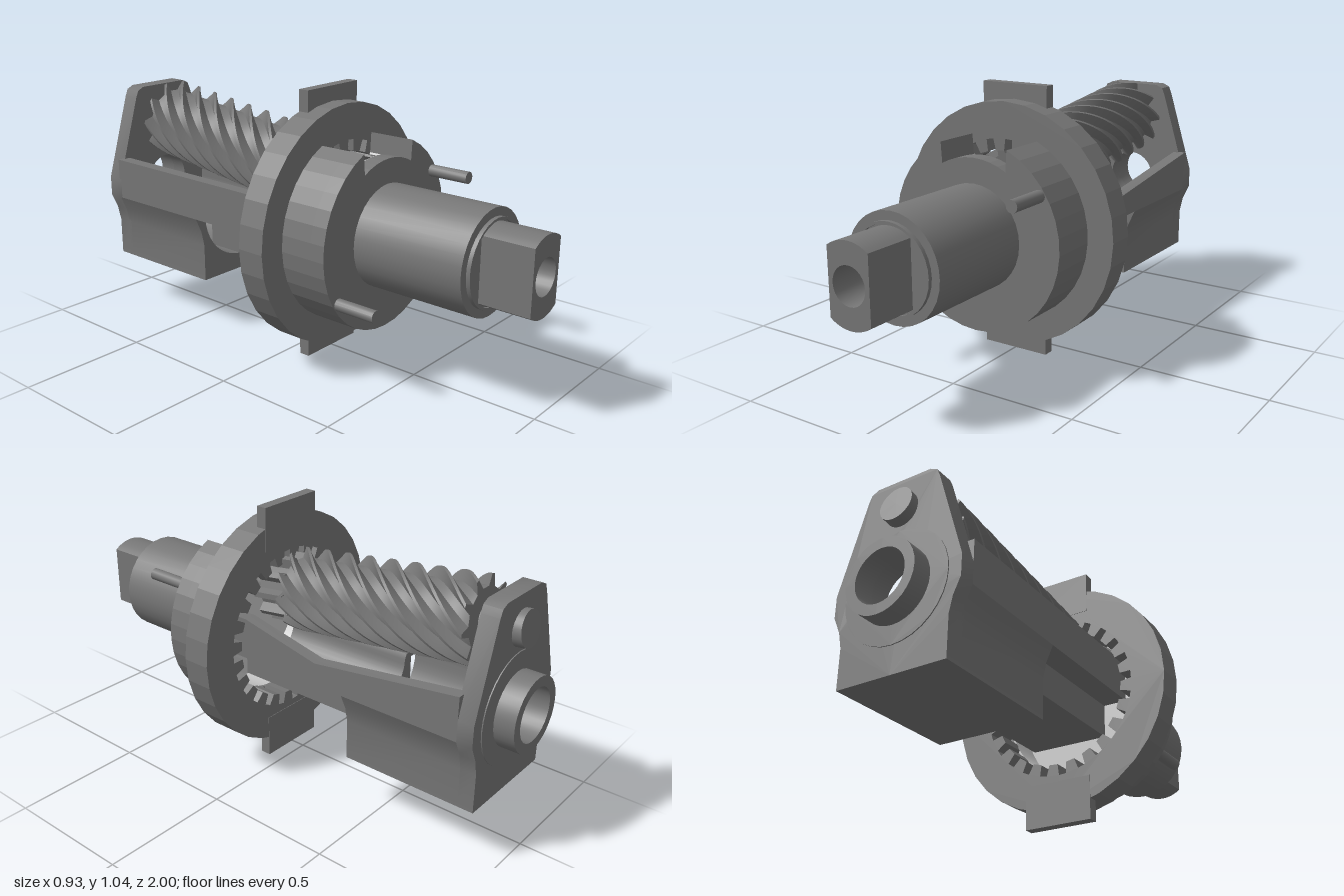
import * as THREE from 'three';
import { toCreasedNormals } from 'three/addons/utils/BufferGeometryUtils.js';

const AXIS = 0.52; // height of the main shaft axis

export function createModel() {
  const model = new THREE.Group();
  const dark = new THREE.MeshStandardMaterial({ color: 0x777777, side: THREE.DoubleSide });
  const light = new THREE.MeshStandardMaterial({ color: 0xcccccc, side: THREE.DoubleSide });

  function add(name, geometry, { parent = model, material = dark, crease = 0.45 } = {}) {
    const mesh = new THREE.Mesh(toCreasedNormals(geometry, crease), material);
    mesh.name = name;
    parent.add(mesh);
  }
  const polar = (r, a) => new THREE.Vector2(r * Math.cos(a), r * Math.sin(a));
  const arc = (r, a0, a1, n = 32) =>
    Array.from({ length: n + 1 }, (_, i) => polar(r, a0 + (a1 - a0) * i / n));
  const circle = (r, n = 32) => arc(r, 0, Math.PI * 2, n).slice(0, n);
  // Toothed outline: each tooth is a trapezoid with wide root and narrow tip
  function toothed(n, root, tip, rootGap, tipWidth, phase = 0) {
    const pts = [], step = Math.PI * 2 / n;
    for (let i = 0; i < n; i++) {
      const a = i * step + Math.PI / 2 + phase;
      pts.push(polar(root, a - step * rootGap / 2), polar(root, a + step * rootGap / 2),
        polar(tip, a + step * (0.5 - tipWidth / 2)), polar(tip, a + step * (0.5 + tipWidth / 2)));
    }
    return pts;
  }
  // Extrude an outline along z from z0 to z1
  function slab(points, z0, z1, holes = [], steps = 1) {
    const shape = new THREE.Shape(points);
    shape.holes = holes.map(h => new THREE.Path(h));
    const g = new THREE.ExtrudeGeometry(shape, { depth: z1 - z0, bevelEnabled: false, steps });
    return g.translate(0, 0, z0);
  }
  const onAxis = g => g.translate(0, AXIS, 0);
  const rod = (r, z0, z1, n = 24) =>
    new THREE.CylinderGeometry(r, r, z1 - z0, n).rotateX(Math.PI / 2).translate(0, 0, (z0 + z1) / 2);
  const mirrored = half => [...half, ...half.slice().reverse().map(([x, y]) => [-x, y])]
    .map(([x, y]) => new THREE.Vector2(x, y));

  // Flange with internal ring gear
  const flat = { crease: 0.1 };
  add('ringGearFlange', onAxis(slab(circle(0.463), 0.06, 0.17,
    [toothed(24, 0.28, 0.325, 0.5, 0.36, 0.065)])), flat);
  for (const s of [1, -1]) {
    const tab = new THREE.BoxGeometry(0.28, 0.17, 0.042);
    add('flangeTab', tab.translate(0, AXIS + s * 0.435, 0.079));
  }

  // Hub cup with a notch at the top and a pale lining
  const up = Math.PI / 2, round = Math.PI * 2;
  const outer = arc(0.36, up + 0.41, up + round - 0.41);
  const inner = r => arc(r, up + round - 0.5, up + 0.5);
  add('hubWall', onAxis(slab([...outer, ...inner(0.288)], 0.17, 0.3)), flat);
  add('hubFront', onAxis(slab([...outer, ...arc(0.288, up - 0.5, up + 0.5, 8)], 0.3, 0.36)), flat);
  add('hubLining', onAxis(slab([...inner(0.288).reverse(), ...inner(0.28)], 0.165, 0.3)), { material: light });
  add('hubFloor', onAxis(rod(0.284, 0.29, 0.3, 32)), { material: light });

  // Locating pins
  for (const s of [1, -1])
    add('locatingPin', rod(0.023, 0.34, 0.525, 16).translate(s * 0.277, AXIS + s * 0.187, 0));

  // Input shaft: stepped sleeve and a hollow end with two flats
  const sleeve = [[0, 0.34], [0.195, 0.34], [0.195, 0.8], [0.163, 0.8],
    [0.163, 0.815], [0.154, 0.815], [0.154, 0.805], [0, 0.805]].map(p => new THREE.Vector2(...p));
  add('shaftSleeve', onAxis(new THREE.LatheGeometry(sleeve, 32).rotateX(Math.PI / 2)));
  const a = Math.acos(0.085 / 0.147);
  add('flattedShaftEnd', onAxis(slab(
    [...arc(0.147, a, Math.PI - a, 10), ...arc(0.147, Math.PI + a, Math.PI * 2 - a, 10)],
    0.8, 1, [circle(0.068, 24)])));

  // Frame: lower trough in two widths
  const trough = r => arc(r, 0, -Math.PI / 2, 10).map(p => [p.x, p.y + 0.48]);
  const flank = [[0, 0.21], [0.215, 0.21], [0.215, 0.36], [0.228, 0.42], [0.255, 0.48]];
  const arm = [[0, 0.35], [0.16, 0.35], [0.16, 0.48], [0.255, 0.48], [0.255, 0.5], [0.13, 0.5]];
  add('rearFrameBlock', slab(mirrored([...flank, ...trough(0.205)]), -0.86, -0.39));
  add('frontFrameArm', slab(mirrored([...arm, ...trough(0.12)]), -0.4, 0.15));

  // Frame: side walls, the left one dipping where the screw passes
  const wall = dip => slab([[0.15, 0.64], [0.06, 0.64], [-0.27, dip], [-0.86, 0.645], [-0.86, 0.48], [0.15, 0.48]]
    .map(([z, y]) => new THREE.Vector2(-z, y)), -0.025, 0.025).rotateY(Math.PI / 2);
  add('leftFrameWall', wall(0.567).translate(0.23, 0, 0));
  add('rightFrameWall', wall(0.642).translate(-0.23, 0, 0));

  // End plate with bearing tube
  const plate = [...flank, [0.255, 0.56], [0.15, 0.895], [0.138, 0.922], [0.11, 0.935], [0, 0.935]];
  const bore = circle(0.1, 28);
  add('endPlate', slab(mirrored(plate), -0.92, -0.85, [bore.map(p => new THREE.Vector2(p.x, p.y + AXIS))]));
  add('bearingTube', onAxis(slab(circle(0.138), -1, -0.9, [bore])));
  add('bearingRim', onAxis(slab(circle(0.208), -0.924, -0.91, [circle(0.138)])));

  // Tilted screw with ten twisted threads
  const screw = new THREE.Group();
  screw.name = 'tiltedScrew';
  screw.position.y = 0.7;
  screw.rotation.x = 0.124;
  model.add(screw);
  const threads = slab(toothed(10, 0.118, 0.158, 0.5, 0.14), -0.8, 0, [], 48);
  const p = threads.attributes.position;
  for (let i = 0; i < p.count; i++) {
    const t = p.getZ(i) * Math.PI * 2, x = p.getX(i), y = p.getY(i);
    p.setXY(i, x * Math.cos(t) - y * Math.sin(t), x * Math.sin(t) + y * Math.cos(t));
  }
  const onScrew = { parent: screw };
  add('screwThreads', threads, onScrew);
  add('screwPinion', slab(toothed(10, 0.1, 0.135, 0.45, 0.25), -0.01, 0.13), onScrew);
  add('screwAxle', rod(0.06, -0.88, 0.18), onScrew);
  add('screwAxleEnd', rod(0.066, -0.96, -0.86), onScrew);

  return model;
}
